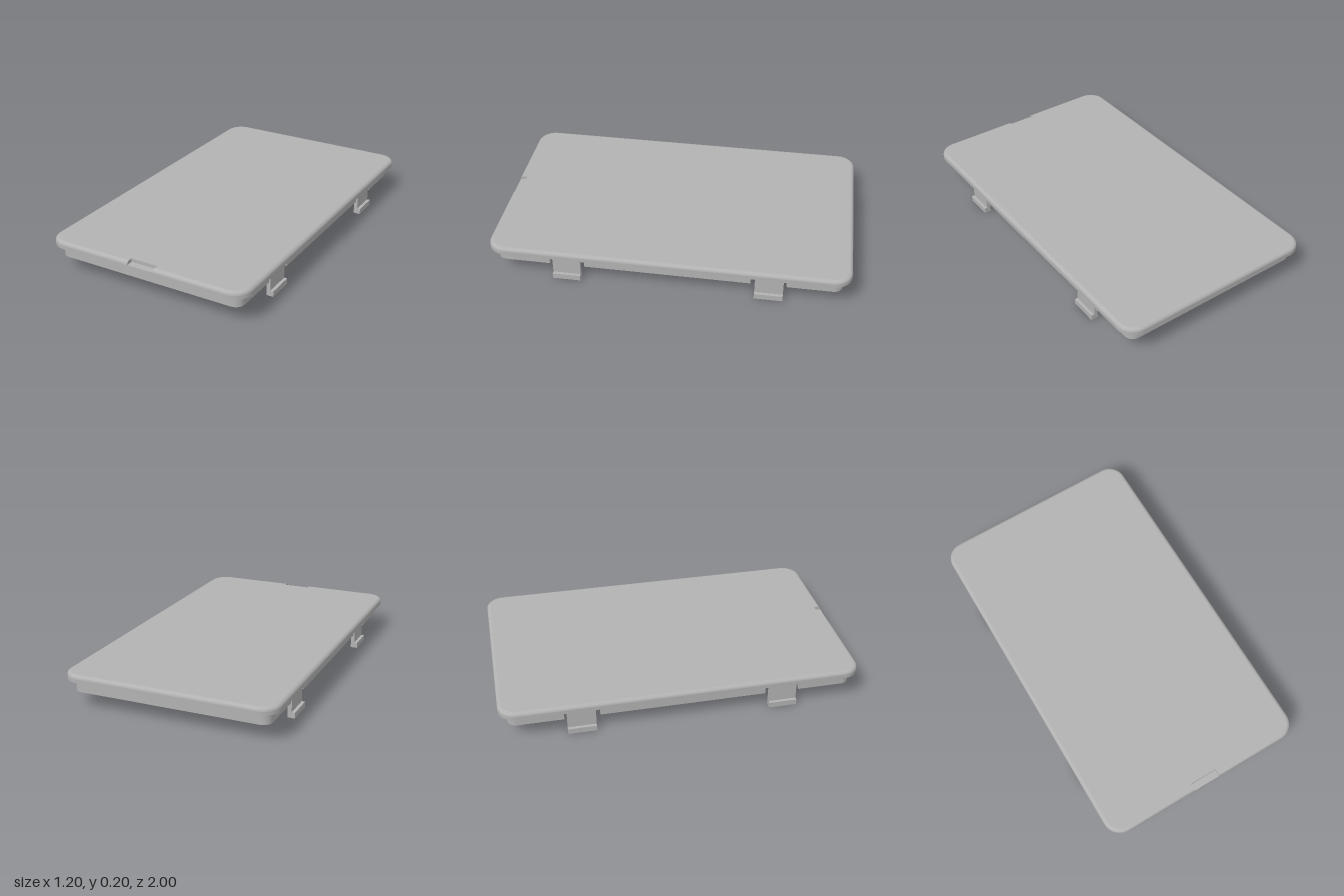
import * as THREE from 'three';
import { toCreasedNormals } from 'three/addons/utils/BufferGeometryUtils.js';

const CREASE = 0.6;

// Rounded rectangle corners as points, counter-clockwise, starting at lower right
function roundedRect(w, h, r, steps = 10) {
  const pts = [];
  const centres = [[1, -1], [1, 1], [-1, 1], [-1, -1]];
  centres.forEach(([sx, sy], c) => {
    for (let i = 0; i <= steps; i++) {
      const a = (c - 1 + i / steps) * Math.PI / 2;
      pts.push(new THREE.Vector2(sx * (w - r) + r * Math.cos(a), sy * (h - r) + r * Math.sin(a)));
    }
  });
  return pts;
}

// Extrude a plan shape upwards from y0 to y1 (shape y points to the back)
function extrudeUp(pts, y0, y1) {
  const g = new THREE.ExtrudeGeometry(new THREE.Shape(pts), { depth: y1 - y0, bevelEnabled: false });
  g.rotateX(-Math.PI / 2);
  g.translate(0, y0, 0);
  return toCreasedNormals(g, CREASE);
}

// Lid plan shrunk by an inset, with the thumb notch cut in the front edge
function notchedOutline(inset) {
  const z = -1 + inset, n = 0.08, back = -0.96;
  return [
    ...roundedRect(0.6 - inset, 1 - inset, 0.1 - inset),
    new THREE.Vector2(-n, z), new THREE.Vector2(-n, back),
    new THREE.Vector2(n, back), new THREE.Vector2(n, z),
  ];
}

// Upper half of the lid: filleted edge lofted through inset outlines
function lidEdge(y0, r, steps) {
  const pos = [];
  const layers = [];
  for (let i = 0; i <= steps; i++) {
    const t = i / steps * Math.PI / 2;
    const y = y0 + r * Math.sin(t);
    layers.push(notchedOutline(r * (1 - Math.cos(t))).map(p => [p.x, y, -p.y]));
  }
  for (let k = 0; k < steps; k++) {
    const a = layers[k], b = layers[k + 1];
    for (let i = 0; i < a.length; i++) {
      const j = (i + 1) % a.length;
      pos.push(...a[i], ...a[j], ...b[j], ...a[i], ...b[j], ...b[i]);
    }
  }
  const g = new THREE.BufferGeometry();
  g.setAttribute('position', new THREE.Float32BufferAttribute(pos, 3));
  return toCreasedNormals(g, CREASE);
}

export function createModel() {
  const group = new THREE.Group();
  const grey = new THREE.MeshStandardMaterial({ color: 0xb2b2b2 });
  grey.name = 'grey plastic';
  const add = (geometry, name) => {
    const mesh = new THREE.Mesh(geometry, grey);
    mesh.name = name;
    group.add(mesh);
    return mesh;
  };

  // Lid plate: plain lower slab, filleted notched upper edge, flat top
  add(extrudeUp(roundedRect(0.6, 1, 0.1), 0.16, 0.18), 'lidSlab');
  add(lidEdge(0.18, 0.02, 5), 'lidEdge');
  const top = new THREE.ShapeGeometry(new THREE.Shape(notchedOutline(0.02)));
  top.rotateX(-Math.PI / 2);
  top.translate(0, 0.2, 0);
  add(top, 'lidTop');

  // Rim under the lid: U-shaped ends and straight sides, with gaps for the clips
  const W = 0.555, H = 0.955, T = 0.025, end = 0.655;
  const arch = (w, h, r) => [
    new THREE.Vector2(w, end),
    ...roundedRect(w, h, r, 6).filter(p => p.y > 0),
    new THREE.Vector2(-w, end),
  ];
  const uShape = [...arch(W, H, 0.05), ...arch(W - T, H - T, 0.025).reverse()];
  const uGeo = extrudeUp(uShape, 0.09, 0.16);
  add(uGeo, 'rimBack');
  add(uGeo, 'rimFront').rotation.y = Math.PI;
  for (const s of [1, -1]) {
    const side = add(new THREE.BoxGeometry(T, 0.07, 0.92), s > 0 ? 'rimLeft' : 'rimRight');
    side.position.set(s * (W - T / 2), 0.125, 0);
  }

  // Snap clips with outward hooks
  const profile = [[0.533, 0], [0.573, 0], [0.573, 0.032], [0.555, 0.032], [0.555, 0.16], [0.533, 0.16]];
  const clipGeo = new THREE.ExtrudeGeometry(
    new THREE.Shape(profile.map(p => new THREE.Vector2(...p))),
    { depth: 0.156, bevelEnabled: false });
  clipGeo.translate(0, 0, -0.078);
  for (const s of [1, -1]) for (const z of [0.562, -0.562]) {
    const clip = add(clipGeo, (s > 0 ? 'left' : 'right') + (z > 0 ? 'FrontClip' : 'BackClip'));
    clip.rotation.y = s > 0 ? 0 : Math.PI;
    clip.position.z = z;
  }
  return group;
}
